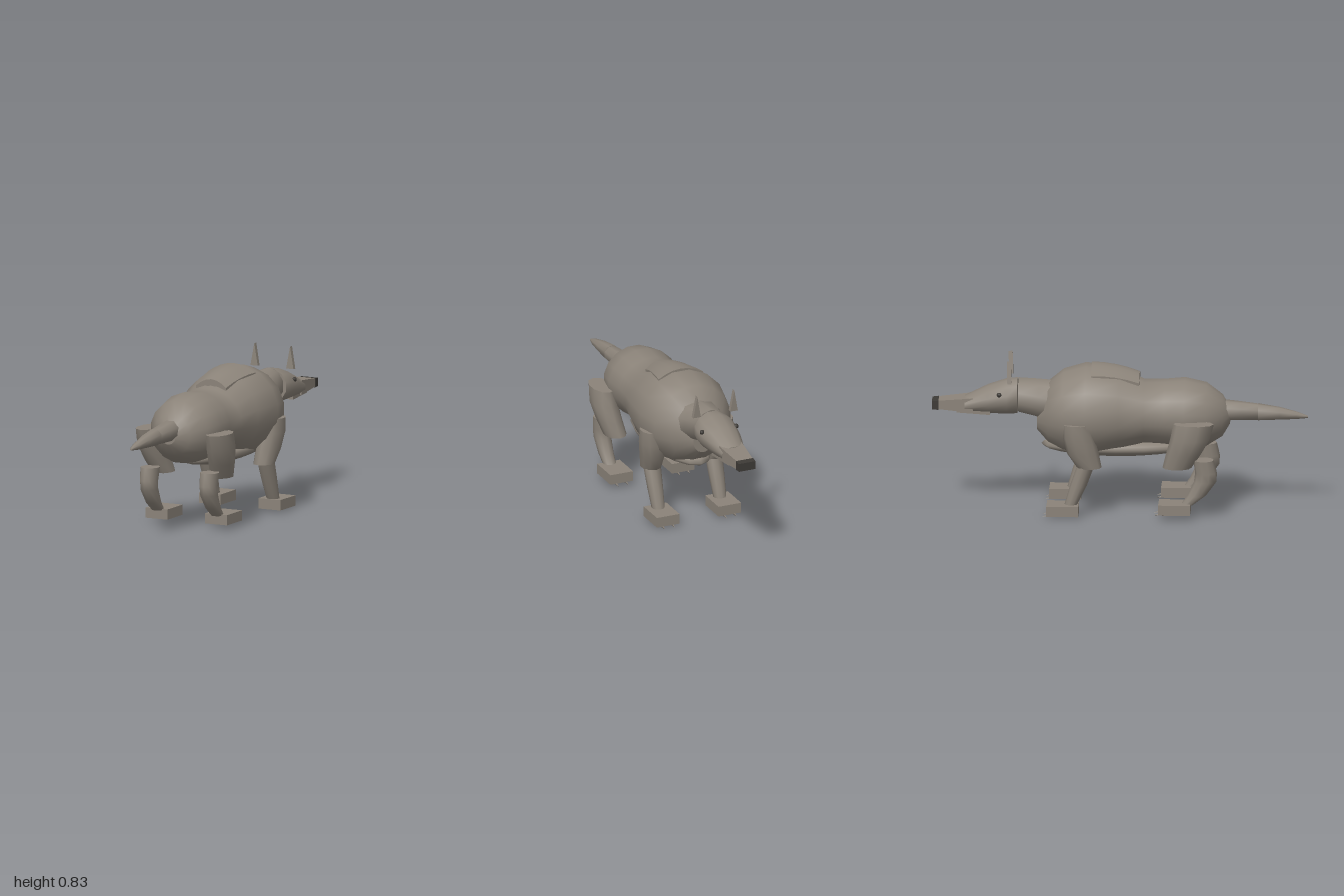
import * as THREE from 'three';

const hide = new THREE.MeshStandardMaterial({ name: 'hide brown grey', color: 0x8b8379 });
const dark = new THREE.MeshStandardMaterial({ name: 'dark nose', color: 0x3d3a36 });

// Closed skin through elliptical rings [x, y, z, r1, r2]; axis 'z' puts rings upright, 'y' level.
// Rings run in rising order along the axis.
function loft(rings, n, axis) {
  const pos = [], index = [];
  const ring = ([x, y, z, r1, r2]) => {
    for (let j = 0; j < n; j++) {
      const a = ((j + 0.5) / n) * Math.PI * 2, c = Math.cos(a) * r1, s = Math.sin(a) * r2;
      if (axis === 'z') pos.push(x + c, y + s, z);
      else pos.push(x + c, y, z - s);
    }
  };
  rings.forEach(ring);
  for (let i = 0; i < rings.length - 1; i++)
    for (let j = 0; j < n; j++) {
      const k = (j + 1) % n, a = i * n + j, b = i * n + k;
      index.push(a, b, a + n, b, b + n, a + n);
    }
  // end caps with their own corners keep a crisp rim
  [rings[0], rings[rings.length - 1]].forEach((r, end) => {
    const base = pos.length / 3;
    ring(r);
    for (let j = 1; j < n - 1; j++)
      end ? index.push(base, base + j, base + j + 1) : index.push(base, base + j + 1, base + j);
  });
  const g = new THREE.BufferGeometry();
  g.setAttribute('position', new THREE.Float32BufferAttribute(pos, 3));
  g.setIndex(index);
  g.computeVertexNormals();
  return g;
}

// Four-sided block running from z0 to z1; each end is [halfWidth, bottom, top]
function taperedBox(z0, z1, e0, e1) {
  const g = new THREE.BoxGeometry(2, 1, 1), p = g.attributes.position;
  for (let i = 0; i < p.count; i++) {
    const back = p.getZ(i) < 0, e = back ? e0 : e1;
    p.setXYZ(i, p.getX(i) * e[0], p.getY(i) < 0 ? e[1] : e[2], back ? z0 : z1);
  }
  g.computeVertexNormals();
  return g;
}

export function createModel() {
  const model = new THREE.Group();
  model.name = 'animal';
  const add = (name, geo, mat = hide, parent = model) => {
    const m = new THREE.Mesh(geo, mat);
    m.name = name;
    parent.add(m);
    return m;
  };

  // Trunk: deep chest, narrow waist, round rump
  add('body', loft([
    [0, 0.5, -0.44, 0.06, 0.07], [0, 0.53, -0.38, 0.165, 0.165], [0, 0.54, -0.3, 0.225, 0.22],
    [0, 0.545, -0.18, 0.255, 0.25], [0, 0.545, 0, 0.232, 0.222], [0, 0.537, 0.13, 0.2, 0.17],
    [0, 0.535, 0.24, 0.19, 0.175], [0, 0.532, 0.345, 0.2, 0.188], [0, 0.525, 0.46, 0.175, 0.17],
    [0, 0.52, 0.545, 0.11, 0.112], [0, 0.52, 0.585, 0.045, 0.045],
  ], 16, 'z'));

  const belly = add('belly', new THREE.SphereGeometry(1, 16, 10));
  belly.scale.set(0.15, 0.055, 0.4);
  belly.position.set(0, 0.355, -0.02);

  // Arched plate lying on the back, wider over the shoulders
  const plate = new THREE.BoxGeometry(2, 1, 1, 6, 1, 4), pp = plate.attributes.position;
  for (let i = 0; i < pp.count; i++) {
    const t = pp.getZ(i) + 0.5, u = pp.getX(i);
    const y = 0.8 - 0.047 * t * t - 0.04 * u * u;
    pp.setXYZ(i, u * (0.13 - 0.04 * t), y + (pp.getY(i) - 0.5) * 0.035, -0.15 + 0.255 * t);
  }
  plate.computeVertexNormals();
  add('backPlate', plate);

  // Neck and head
  add('neck', loft([
    [0, 0.62, -0.54, 0.09, 0.095], [0, 0.603, -0.43, 0.115, 0.106], [0, 0.585, -0.34, 0.14, 0.115],
  ], 10, 'z'));
  add('head', loft([
    [0, 0.57, -0.825, 0.07, 0.042], [0, 0.597, -0.7, 0.1, 0.076],
    [0, 0.612, -0.6, 0.115, 0.094], [0, 0.616, -0.545, 0.104, 0.095],
  ], 12, 'z'));
  add('snout', taperedBox(-0.975, -0.78, [0.046, 0.547, 0.592], [0.066, 0.532, 0.612]));
  add('jaw', taperedBox(-0.87, -0.69, [0.05, 0.53, 0.555], [0.065, 0.522, 0.56]));
  add('nose', taperedBox(-1, -0.965, [0.048, 0.545, 0.59], [0.05, 0.543, 0.594]), dark);

  // Tail in two pieces
  add('tailBase', loft([
    [0, 0.55, 0.53, 0.062, 0.058], [0, 0.545, 0.65, 0.052, 0.05], [0, 0.54, 0.745, 0.043, 0.043],
  ], 8, 'z'));
  add('tailTip', loft([
    [0, 0.54, 0.735, 0.046, 0.046], [0, 0.533, 0.85, 0.036, 0.034],
    [0, 0.523, 0.94, 0.022, 0.02], [0, 0.515, 1, 0.006, 0.006],
  ], 8, 'z'));

  // Foot block with two claws beneath its toe edge
  const foot = (name, x, z, y0, y1) => {
    const f = new THREE.Group();
    f.name = name;
    model.add(f);
    const block = add('footBlock', new THREE.BoxGeometry(0.132, y1 - y0, 0.17), hide, f);
    block.position.set(x, (y0 + y1) / 2, z);
    for (const dx of [-0.029, 0.029]) {
      const claw = add('claw', new THREE.ConeGeometry(0.011, 0.06, 6), hide, f);
      claw.rotation.x = -Math.PI / 2 - 0.12;
      claw.position.set(x + dx, y0 - 0.004, z - 0.08);
    }
  };

  for (const s of [1, -1]) {
    const side = s > 0 ? 'left' : 'right';
    // Ear: thin upright triangle
    const tri = new THREE.Shape([[-0.022, 0], [0.022, 0], [0, 0.12]].map(p => new THREE.Vector2(...p)));
    const ear = add(side + 'Ear', new THREE.ExtrudeGeometry(tri, { depth: 0.022, bevelEnabled: false }));
    ear.position.set(s * 0.108, 0.71, -0.595);
    ear.rotation.x = -0.03;

    const eye = add(side + 'Eye', new THREE.SphereGeometry(0.013, 8, 6), dark);
    eye.position.set(s * 0.1, 0.642, -0.64);

    // Hind leg
    const mirror = rings => rings.map(([x, ...r]) => [s * x, ...r]);
    add(side + 'Thigh', loft(mirror([
      [0.176, 0.275, 0.31, 0.06, 0.077], [0.195, 0.355, 0.345, 0.066, 0.093],
      [0.21, 0.44, 0.38, 0.07, 0.105], [0.212, 0.525, 0.4, 0.062, 0.108],
    ]), 10, 'y'));
    add(side + 'HindShin', loft(mirror([
      [0.18, 0.075, 0.365, 0.035, 0.035], [0.18, 0.125, 0.415, 0.04, 0.05],
      [0.18, 0.2, 0.46, 0.045, 0.06], [0.18, 0.25, 0.465, 0.048, 0.058], [0.18, 0.32, 0.452, 0.052, 0.055],
    ]), 10, 'y'));
    foot(side + 'HindFoot', s * 0.18, 0.297, 0.028, 0.083);

    // Front leg
    add(side + 'UpperArm', loft(mirror([
      [0.178, 0.272, -0.157, 0.056, 0.066], [0.187, 0.35, -0.19, 0.064, 0.085],
      [0.198, 0.44, -0.212, 0.068, 0.084], [0.203, 0.515, -0.22, 0.062, 0.078],
    ]), 10, 'y'));
    add(side + 'Forearm', loft(mirror([
      [0.18, 0.065, -0.255, 0.035, 0.034], [0.18, 0.17, -0.215, 0.042, 0.045], [0.18, 0.29, -0.172, 0.048, 0.046],
    ]), 10, 'y'));
    foot(side + 'FrontFoot', s * 0.18, -0.298, 0.014, 0.07);
  }
  return model;
}
